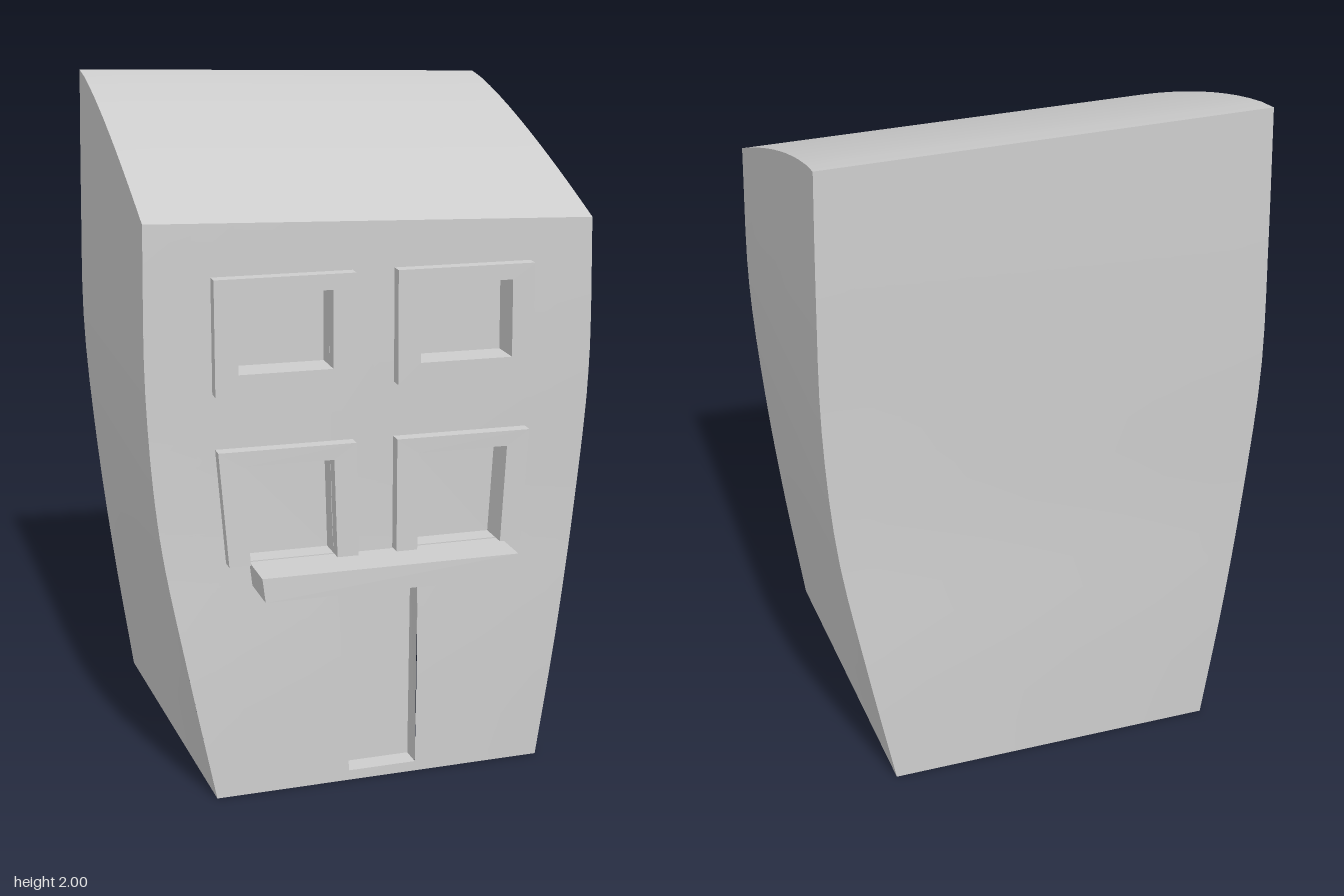
import * as THREE from 'three';

const plaster = new THREE.MeshStandardMaterial({ color: 0xcccccc, side: THREE.DoubleSide });
plaster.name = 'pale grey plaster';

const W = 1.31; // nominal facade width
const curve = (pts) => new THREE.CatmullRomCurve3(
  pts.map(([x, z], i) => new THREE.Vector3(x, i * 0.4, z)), false, 'catmullrom');

// The two facade corner edges, bulging and twisting upward; the back corners mirror them
const edgeA = curve([[0.147, 0.72], [0.09, 0.775], [0.03, 0.815], [0.003, 0.83], [0, 0.826], [0, 0.815]]);
const edgeB = curve([[0.73, -0.095], [0.765, -0.14], [0.79, -0.18], [0.812, -0.2], [0.808, -0.2], [0.797, -0.2]]);

// Point in the body: a runs along the facade, b from front to back
function bodyPoint(a, b, y) {
  const A = edgeA.getPoint(y / 2), B = edgeB.getPoint(y / 2);
  const front = A.clone().lerp(B, a);
  const back = B.clone().negate().lerp(A.clone().negate(), a);
  const p = front.lerp(back, b);
  p.y = y;
  return p;
}

const roofY = (a, b) => 2 - 0.04 * a - 0.31 * Math.pow(1 - b, 1.3);

// Point on the facade: u from its middle, d outward
function facadePoint(u, y, d) {
  const dir = bodyPoint(1, 0, y).sub(bodyPoint(0, 0, y)).normalize();
  const p = bodyPoint(0.5 + u / W, 0, y);
  p.x -= dir.z * d;
  p.z += dir.x * d;
  return p;
}

// Smooth grid surface with optional missing cells
function grid(nx, ny, point, skip = () => false) {
  const pos = [], idx = [];
  for (let j = 0; j <= ny; j++) {
    for (let i = 0; i <= nx; i++) pos.push(...point(i, j).toArray());
  }
  for (let j = 0; j < ny; j++) {
    for (let i = 0; i < nx; i++) {
      if (skip(i, j)) continue;
      const k = j * (nx + 1) + i, m = k + nx + 1;
      idx.push(k, k + 1, m + 1, k, m + 1, m);
    }
  }
  const g = new THREE.BufferGeometry();
  g.setAttribute('position', new THREE.Float32BufferAttribute(pos, 3));
  g.setIndex(idx);
  g.computeVertexNormals();
  return g;
}

// Bends a geometry made in (u, y, d) onto the facade
function bend(geometry) {
  const g = geometry.index ? geometry.toNonIndexed() : geometry;
  const p = g.attributes.position;
  for (let i = 0; i < p.count; i++) {
    const q = facadePoint(p.getX(i), p.getY(i), p.getZ(i));
    p.setXYZ(i, q.x, q.y, q.z);
  }
  g.computeVertexNormals();
  return g;
}

const block = (u0, u1, y0, y1, d0, d1) => new THREE.BoxGeometry(u1 - u0, y1 - y0, d1 - d0)
  .translate((u0 + u1) / 2, (y0 + y1) / 2, (d0 + d1) / 2);

// Box without its front face
function recess(o, depth) {
  const g = block(o.u0, o.u1, o.y0, o.y1, -depth, 0);
  const idx = Array.from(g.index.array);
  idx.splice(24, 6);
  g.setIndex(idx);
  return bend(g);
}

const rectPoints = (u0, u1, y0, y1) => [[u0, y0], [u1, y0], [u1, y1], [u0, y1]]
  .map(([x, y]) => new THREE.Vector2(x, y));

export function createModel() {
  const group = new THREE.Group();
  const add = (name, geometry) => {
    const mesh = new THREE.Mesh(geometry, plaster);
    mesh.name = name;
    group.add(mesh);
  };

  // Openings in the facade
  const door = { name: 'door', u0: -0.124, u1: 0.144, y0: 0.03, y1: 0.64 };
  const windows = [];
  for (const side of [-1, 1]) {
    const u0 = side < 0 ? -0.4 : 0.128, u1 = side < 0 ? -0.128 : 0.4;
    const where = side < 0 ? 'Left' : 'Right';
    windows.push({ name: 'upperWindow' + where, u0, u1, y0: 1.265, y1: 1.49, upper: true });
    windows.push({ name: 'lowerWindow' + where, u0, u1, y0: 0.71, y1: 1.0, upper: false });
  }
  const openings = [door, ...windows];

  // Facade with holes
  const cols = [-W / 2, -0.52, -0.4, -0.26, -0.128, -0.124, 0, 0.128, 0.144, 0.26, 0.4, 0.52, W / 2];
  const rows = [0, 0.03, 0.15, 0.27, 0.39, 0.52, 0.64, 0.71, 0.8, 0.9, 1, 1.13, 1.265, 1.38, 1.49, 1.58, 2];
  const inHole = (i, j) => {
    const u = (cols[i] + cols[i + 1]) / 2, y = (rows[j] + rows[j + 1]) / 2;
    return openings.some((o) => u > o.u0 && u < o.u1 && y > o.y0 && y < o.y1);
  };
  add('facade', grid(cols.length - 1, rows.length - 1, (i, j) => {
    const y = Math.min(rows[j], roofY(0.5 + cols[i] / W, 0));
    return facadePoint(cols[i], y, 0);
  }, inHole));

  // Plain walls and roof; the bottom stays open
  const n = 12, ny = 18;
  const wall = (name, ab) => add(name, grid(n, ny, (i, j) => {
    const [a, b] = ab(i / n);
    return bodyPoint(a, b, roofY(a, b) * j / ny);
  }));
  wall('rightSideWall', (t) => [1, t]);
  wall('backWall', (t) => [1 - t, 1]);
  wall('leftSideWall', (t) => [0, 1 - t]);
  add('roof', grid(n, n, (i, j) => bodyPoint(i / n, j / n, roofY(i / n, j / n))));

  // Window recesses and raised frames; lower frames are open at the sill
  for (const w of windows) {
    add(w.name + 'Recess', recess(w, 0.065));
    const f = 0.067, top = w.y1 + 0.045;
    let shape;
    if (w.upper) {
      shape = new THREE.Shape(rectPoints(w.u0 - f, w.u1 + f, w.y0 - 0.06, top));
      shape.holes.push(new THREE.Path(rectPoints(w.u0, w.u1, w.y0, w.y1).reverse()));
    } else {
      const [bl, br, tr, tl] = rectPoints(w.u0 - f, w.u1 + f, w.y0, top);
      const [il, ir, jr, jl] = rectPoints(w.u0, w.u1, w.y0, w.y1);
      shape = new THREE.Shape([bl, il, jl, jr, ir, br, tr, tl]);
    }
    const g = new THREE.ExtrudeGeometry(shape, { depth: 0.04, bevelEnabled: false });
    add(w.name + 'Frame', bend(g));
  }

  // Door recess and the ledge above it
  add('doorRecess', recess(door, 0.065));
  add('ledge', bend(block(-0.395, 0.417, 0.637, 0.707, -0.01, 0.147)));

  return group;
}
